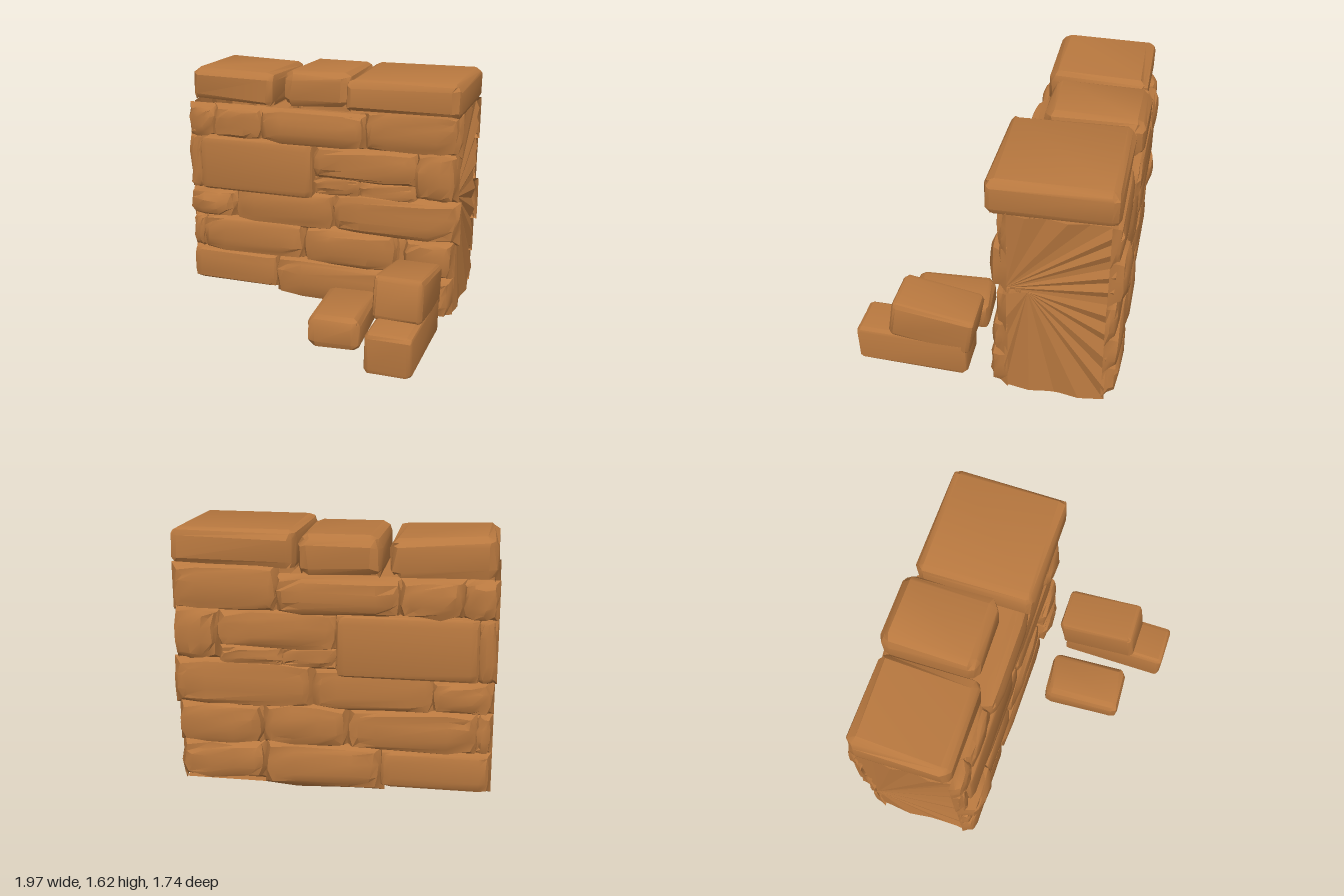
import * as THREE from 'three';
import { mergeVertices, toCreasedNormals } from 'three/addons/utils/BufferGeometryUtils.js';

const sandstone = new THREE.MeshStandardMaterial({ color: 0xb8783f, side: THREE.DoubleSide });
sandstone.name = 'sandstone';

const FRONT_BED = -0.15, BACK_BED = -0.75;
const BOTTOM = 3, BACK = 5; // box sides that can be left open

let seed = 11;
const rand = () => {
  seed = (seed * 16807) % 2147483647;
  return (seed / 2147483647) * 2 - 1;
};

function addMesh(parent, name, geometry, x = 0, y = 0, z = 0) {
  const m = new THREE.Mesh(geometry, sandstone);
  m.position.set(x, y, z);
  m.name = name;
  parent.add(m);
  return m;
}

// Unit box of 3x3x3 cells with welded corners and optionally one open side
function gridBox(openSide) {
  const g = new THREE.BoxGeometry(1, 1, 1, 3, 3, 3);
  g.setIndex(Array.from(g.index.array).filter((_, i) => Math.floor(i / 54) !== openSide));
  g.deleteAttribute('uv');
  g.deleteAttribute('normal');
  return mergeVertices(g);
}

// Worn block with bevelled rims
function addBlock(parent, name, [x0, x1, y0, y1, z0, z1], bevel, rough, openSide) {
  const g = gridBox(openSide);
  const p = g.attributes.position;
  const size = [x1 - x0, y1 - y0, z1 - z0];
  const pull = [0, 0, 0.32, 0.5];
  for (let i = 0; i < p.count; i++) {
    const v = [p.getX(i), p.getY(i), p.getZ(i)];
    const n = v.filter((c) => Math.abs(c) > 0.4).length;
    p.setXYZ(i, ...v.map((c, k) => {
      const outer = Math.abs(c) > 0.4;
      const r = size[k] / 2 - bevel * (outer ? pull[n] : 1);
      return Math.sign(c) * r + rand() * rough * (outer && n === 1 ? 0.4 : 1);
    }));
  }
  return addMesh(parent, name, toCreasedNormals(g, 0.55), (x0 + x1) / 2, (y0 + y1) / 2, (z0 + z1) / 2);
}

// Facing stone: an open-backed bulge rising from the wall bed, wide at its foot
function addFacing(parent, name, [x0, x1, y0, y1], bevel, depth, front) {
  const g = gridBox(BACK);
  const p = g.attributes.position;
  const size = [x1 - x0, y1 - y0];
  const cy = (y0 + y1) / 2;
  const spread = [0.012, 0, -0.2 * bevel, -0.7 * bevel];
  const rise = [0, 0.4, 0.75, 1];
  const rough = bevel < 0.04 ? 0.003 : 0.01;
  for (let i = 0; i < p.count; i++) {
    const layer = Math.round((p.getZ(i) + 0.5) * 3);
    const v = [p.getX(i), p.getY(i)];
    const n = v.filter((c) => Math.abs(c) > 0.4).length;
    const [x, y] = v.map((c, k) => {
      const half = size[k] / 2;
      const b = Math.min(bevel, size[k] * 0.22);
      const r = Math.abs(c) > 0.4
        ? half + spread[layer] * (layer ? b / bevel : 1) - (n === 2 && layer ? 0.25 * b : 0)
        : half - Math.min(2.2 * b, half * 0.7);
      return Math.sign(c) * r + (layer ? rand() * rough : 0);
    });
    const lip = layer === 3 && n ? n * 0.1 : 0;
    p.setXYZ(i, x, Math.max(y, -cy), depth * (rise[layer] - lip) + (layer ? rand() * rough * 0.7 : 0));
  }
  const m = addMesh(parent, name, toCreasedNormals(g, 0.55), (x0 + x1) / 2, cy, front ? FRONT_BED : BACK_BED);
  if (!front) m.rotation.y = Math.PI;
}

// Broken wall end: creases fanning out from one point to a jagged rim; points are [z, y]
function addFan(parent, name, side, apex, rim, steps) {
  const pts = [];
  for (let i = 0; i < rim.length - 1; i++) {
    for (let s = 0; s < steps; s++) {
      const t = s / steps;
      pts.push([
        side * (s % 2 ? 0.97 : 0.945),
        rim[i][1] + (rim[i + 1][1] - rim[i][1]) * t,
        rim[i][0] + (rim[i + 1][0] - rim[i][0]) * t,
      ]);
    }
  }
  const last = rim[rim.length - 1];
  pts.push([side * 0.95, last[1], last[0]]);
  const pos = [];
  for (let i = 0; i < pts.length - 1; i++) {
    const a = side > 0 ? pts[i + 1] : pts[i];
    const b = side > 0 ? pts[i] : pts[i + 1];
    pos.push(side * 0.94, apex[1], apex[0], ...a, ...b);
  }
  const g = new THREE.BufferGeometry();
  g.setAttribute('position', new THREE.Float32BufferAttribute(pos, 3));
  g.computeVertexNormals();
  addMesh(parent, name, g);
}

export function createModel() {
  seed = 11;
  const model = new THREE.Group();
  model.name = 'ruinedWall';

  // Courses from the ground up: x0, x1, y0, y1, bevel, front z, back z (null = not on that face)
  const courses = {
    footing: [
      [-0.96, -0.3, 0.045, 0.285, 0.03, -0.06, -0.83],
      [-0.31, 0.63, 0, 0.29, 0.09, -0.05, null],
      [0.63, 0.95, 0, 0.27, 0.06, -0.02, null],
      [-0.31, 0.42, 0.01, 0.29, 0.09, null, -0.84],
      [0.42, 0.95, 0.04, 0.28, 0.09, null, -0.85],
    ],
    second: [
      [-0.96, -0.87, 0.29, 0.53, 0.06, -0.08, -0.81],
      [-0.88, -0.1, 0.28, 0.54, 0.08, -0.055, -0.83],
      [-0.1, 0.57, 0.27, 0.54, 0.09, -0.05, null],
      [0.56, 0.65, 0.29, 0.54, 0.04, -0.11, null],
      [0.63, 0.95, 0.27, 0.53, 0.05, -0.035, null],
      [-0.1, 0.43, 0.28, 0.54, 0.09, null, -0.83],
      [0.43, 0.96, 0.27, 0.53, 0.08, null, -0.85],
    ],
    third: [
      [-0.96, -0.6, 0.55, 0.74, 0.08, 0.0, -0.86],
      [-0.62, 0.12, 0.52, 0.78, 0.07, -0.07, -0.82],
      [0.11, 0.98, 0.52, 0.8, 0.09, -0.07, -0.82],
    ],
    fourth: [
      [-0.97, -0.87, 0.74, 1.13, 0.05, -0.08, -0.82],
      [-0.88, -0.03, 0.74, 1.13, 0.025, -0.06, -0.84],
      [-0.04, 0.7, 0.89, 1.12, 0.1, -0.06, -0.83],
      [-0.04, 0.31, 0.78, 0.91, 0.05, -0.09, -0.81],
      [0.29, 0.69, 0.78, 0.9, 0.05, -0.09, -0.81],
      [0.69, 0.96, 0.82, 1.13, 0.05, -0.03, -0.86],
    ],
    fifth: [
      [-0.97, -0.77, 1.12, 1.34, 0.08, -0.07, -0.83],
      [-0.78, -0.41, 1.12, 1.345, 0.08, -0.07, -0.86],
      [-0.42, 0.33, 1.12, 1.34, 0.07, -0.05, -0.85],
      [0.33, 0.97, 1.12, 1.39, 0.07, -0.08, -0.82],
    ],
  };
  for (const [course, stones] of Object.entries(courses)) {
    const row = new THREE.Group();
    row.name = course + 'Course';
    stones.forEach((s, i) => {
      const [bevel, front, back] = s.slice(4);
      const label = course + 'Stone' + (i + 1);
      if (front !== null) addFacing(row, label + 'Front', s, bevel, front - FRONT_BED, true);
      if (back !== null) addFacing(row, label + 'Back', s, bevel, BACK_BED - back, false);
    });
    model.add(row);
  }

  // Coping stones bedded on top
  const coping = new THREE.Group();
  coping.name = 'copingCourse';
  addBlock(coping, 'rightCoping', [-0.965, -0.345, 1.345, 1.59, -0.79, -0.14], 0.055, 0.012, BOTTOM).rotation.z = -0.035;
  addBlock(coping, 'middleCoping', [-0.3, 0.195, 1.34, 1.6, -0.84, -0.2], 0.065, 0.012, BOTTOM);
  addBlock(coping, 'leftCoping', [0.215, 0.98, 1.375, 1.61, -0.79, -0.015], 0.05, 0.012, BOTTOM).rotation.z = 0.01;
  model.add(coping);

  // Level surfaces under the wall and around the coping: x0, x1, y, back z, front z
  for (const [name, x0, x1, y, z0, z1] of [
    ['rightUnderside', -0.95, -0.3, 0.04, BACK_BED, FRONT_BED],
    ['leftUnderside', -0.31, 0.95, 0, BACK_BED, FRONT_BED],
    ['copingUnderside', 0.24, 0.96, 1.385, FRONT_BED, -0.05],
    ['rightBedding', -0.38, -0.27, 1.34, BACK_BED, FRONT_BED],
    ['leftBedding', 0.17, 0.26, 1.34, BACK_BED, FRONT_BED],
    ['middleBedding', -0.27, 0.17, 1.34, -0.24, FRONT_BED],
  ]) {
    const plane = new THREE.PlaneGeometry(x1 - x0, z1 - z0);
    plane.rotateX(name.endsWith('Bedding') ? -Math.PI / 2 : Math.PI / 2);
    addMesh(model, name, plane, (x0 + x1) / 2, y, (z0 + z1) / 2);
  }

  // Creased broken ends
  addFan(model, 'leftEndLower', 1, [-0.27, 0.81],
    [[-0.76, 0.81], [-0.77, 0.5], [-0.77, 0], [-0.13, 0], [-0.13, 0.78]], 4);
  addFan(model, 'leftEndUpper', 1, [-0.13, 0.82],
    [[-0.1, 1.08], [-0.13, 1.38], [-0.75, 1.38], [-0.79, 1.1], [-0.78, 0.81]], 5);
  addFan(model, 'rightEndLower', -1, [-0.77, 0.33],
    [[-0.77, 0.04], [-0.14, 0.04], [-0.14, 0.3]], 3);
  addFan(model, 'rightEndUpper', -1, [-0.77, 0.34],
    [[-0.14, 0.3], [-0.12, 0.75], [-0.12, 1.1], [-0.15, 1.36], [-0.77, 1.36]], 5);

  // Fallen blocks in front
  const fallen = new THREE.Group();
  fallen.name = 'fallenBlocks';
  addBlock(fallen, 'smallBlock', [0.18, 0.52, 0, 0.215, 0.095, 0.65], 0.05, 0.008).rotation.y = 0.06;
  addBlock(fallen, 'lowerBlock', [0.635, 0.93, 0, 0.27, 0.13, 0.87], 0.03, 0.005);
  addBlock(fallen, 'leaningBlock', [0.615, 0.93, 0.215, 0.495, 0.09, 0.635], 0.03, 0.005).rotation.x = -0.15;
  model.add(fallen);

  return model;
}
